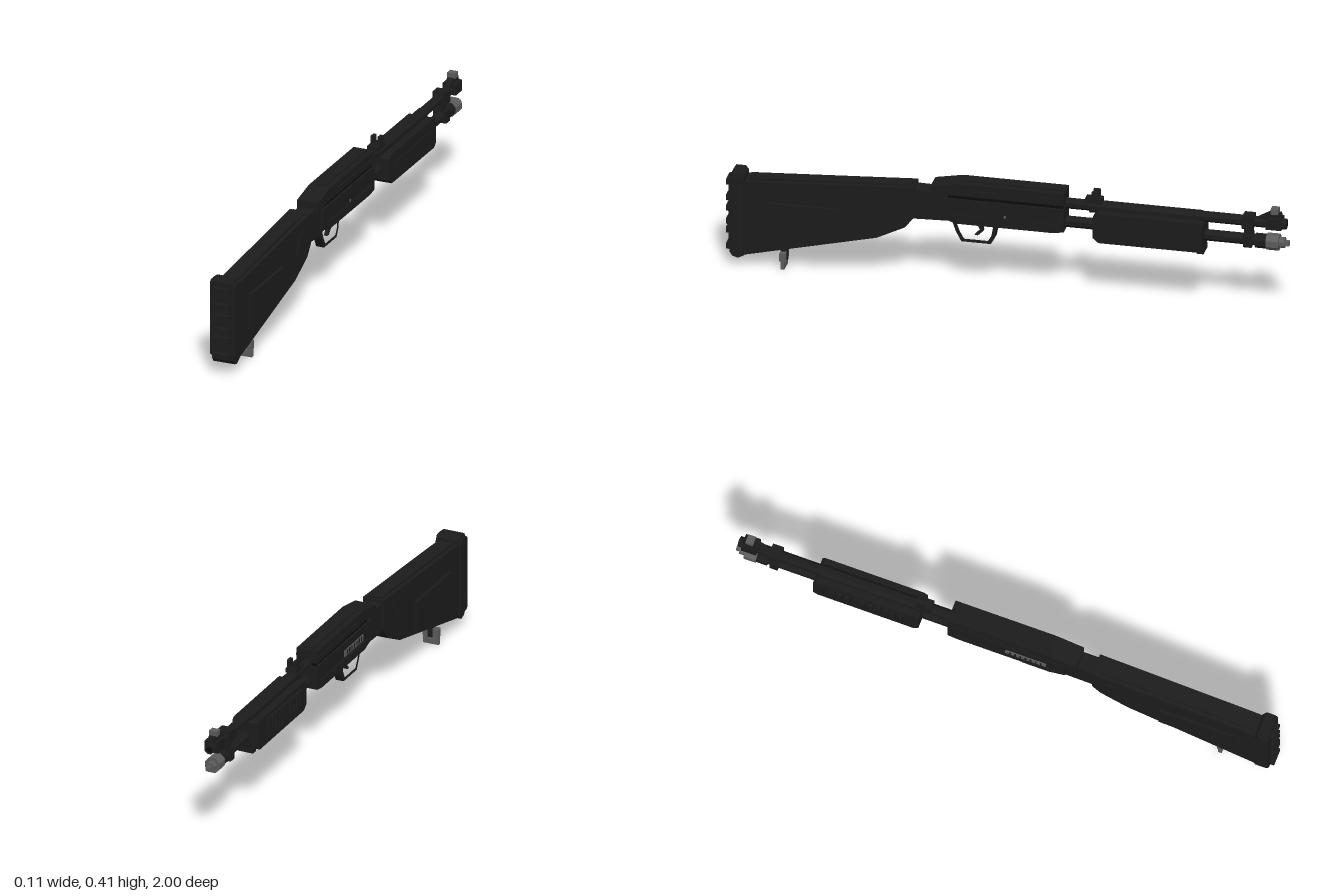
import * as THREE from 'three';

export function createModel() {
  const root = new THREE.Group();
  root.name = 'pumpShotgun';
  const gun = new THREE.Group();
  gun.name = 'gunBody';
  gun.position.x = 0.004; // the body sits a touch off centre because of the one-sided ribs
  root.add(gun);

  const mat = (name, color) => {
    const m = new THREE.MeshStandardMaterial({ color, flatShading: true });
    m.name = name;
    return m;
  };
  const black = mat('matteBlack', 0x1c1c1c);
  const deep = mat('deepBlack', 0x0c0c0c);
  const steel = mat('steelGrey', 0x5c5c5c);

  const add = (name, geo, m) => {
    const mesh = new THREE.Mesh(geo, m);
    mesh.name = name;
    gun.add(mesh);
    return mesh;
  };
  // box given by its width and its z and y ranges
  const box = (name, m, w, z0, z1, y0, y1, x = 0) =>
    add(name, new THREE.BoxGeometry(w, y1 - y0, Math.abs(z1 - z0)), m)
      .position.set(x, (y0 + y1) / 2, (z0 + z1) / 2);
  // side outline of [z, y] points, extruded across the width
  const slab = (name, m, w, pts, x = 0, hole) => {
    const shape = new THREE.Shape(pts.map(p => new THREE.Vector2(...p)));
    if (hole) shape.holes.push(new THREE.Path(hole.map(p => new THREE.Vector2(...p))));
    const geo = new THREE.ExtrudeGeometry(shape, { depth: w, bevelEnabled: false });
    geo.translate(0, 0, -w / 2).rotateY(-Math.PI / 2);
    add(name, geo, m).position.x = x;
  };
  // eight-sided tube along z
  const tube = (name, m, r, z0, z1, y) => {
    const geo = new THREE.CylinderGeometry(r, r, Math.abs(z1 - z0), 8);
    geo.rotateY(Math.PI / 8).rotateX(Math.PI / 2);
    add(name, geo, m).position.set(0, y, (z0 + z1) / 2);
  };

  // Stock and grip
  slab('stock', black, 0.08, [
    [0.945, 0.325], [0.86, 0.332], [0.33, 0.366], [0.33, 0.25], [0.36, 0.212], [0.46, 0.162], [0.945, 0.045]]);
  slab('stockComb', black, 0.05, [[0.92, 0.325], [0.92, 0.336], [0.34, 0.372], [0.34, 0.36]]);
  slab('gripNeck', black, 0.064, [[0.34, 0.355], [0.2, 0.352], [0.2, 0.25], [0.34, 0.245]]);
  for (const s of [-1, 1]) {
    slab('stockPanel', black, 0.01, [[0.855, 0.258], [0.58, 0.258], [0.58, 0.152], [0.855, 0.138]], s * 0.0445);
    slab('gripPanel', black, 0.005, [[0.46, 0.25], [0.42, 0.32], [0.39, 0.32], [0.43, 0.22], [0.46, 0.22]], s * 0.041);
  }

  // Butt pad with ribs on its rear face
  slab('buttPad', black, 0.098, [
    [0.985, 0.335], [0.975, 0.345], [0.945, 0.345], [0.935, 0.325], [0.935, 0.062], [0.975, 0.062], [0.985, 0.07]]);
  slab('buttPadCore', black, 0.08, [
    [0.985, 0.342], [0.978, 0.353], [0.945, 0.353], [0.933, 0.34], [0.933, 0.045], [0.955, 0.034], [0.975, 0.04], [0.985, 0.055]]);
  for (const y of [0.07, 0.132, 0.165, 0.215, 0.255, 0.315])
    box('buttRib', black, 0.06, 0.98, 1.0, y - 0.01, y + 0.01);

  // Receiver
  slab('receiver', black, 0.08, [
    [0.27, 0.378], [0.17, 0.397], [-0.205, 0.397], [-0.205, 0.352], [0.2, 0.352], [0.27, 0.34]]);
  box('receiverCore', deep, 0.066, 0.21, -0.2, 0.26, 0.36);
  slab('lowerReceiver', black, 0.08, [
    [0.23, 0.338], [-0.205, 0.338], [-0.205, 0.252], [-0.17, 0.245], [0.18, 0.245], [0.23, 0.262]]);
  box('receiverTopRib', black, 0.036, 0.16, -0.19, 0.395, 0.403);
  for (const s of [-1, 1]) {
    box('receiverSideRail', black, 0.006, 0.2, -0.18, 0.268, 0.28, s * 0.042);
    box('receiverUpperRail', black, 0.006, 0.1, -0.2, 0.366, 0.376, s * 0.041);
  }
  box('ejectionPort', steel, 0.006, 0.01, 0.16, 0.288, 0.31, -0.041);
  for (let i = 0; i < 7; i++)
    box('portNotch', black, 0.003, 0.025 + i * 0.019, 0.031 + i * 0.019, 0.293, 0.31, -0.044);
  box('receiverPin', steel, 0.004, 0.0, 0.008, 0.284, 0.292, 0.041);

  // Trigger guard and trigger
  slab('triggerGuard', black, 0.03,
    [[0.2, 0.25], [0.185, 0.205], [0.165, 0.168], [0.06, 0.168], [0.045, 0.195], [0.035, 0.25]], 0,
    [[0.185, 0.246], [0.17, 0.205], [0.155, 0.179], [0.07, 0.179], [0.058, 0.2], [0.05, 0.246]]);
  slab('trigger', black, 0.014, [[0.12, 0.25], [0.1, 0.215], [0.12, 0.193], [0.108, 0.193], [0.088, 0.212], [0.095, 0.25]]);

  // Barrel and magazine tube
  tube('barrel', black, 0.019, -0.19, -0.99, 0.347);
  tube('barrelSleeve', black, 0.023, -0.29, -0.69, 0.345);
  tube('muzzleBore', deep, 0.011, -0.98, -0.992, 0.347);
  tube('magazineTube', black, 0.02, -0.19, -0.92, 0.277);
  tube('magazineCollar', black, 0.026, -0.88, -0.92, 0.275);
  tube('magazineCap', steel, 0.03, -0.92, -0.965, 0.276);
  tube('magazineCapTip', steel, 0.019, -0.96, -0.985, 0.276);
  box('magazineCapStud', steel, 0.018, -0.98, -1.0, 0.267, 0.283);
  box('barrelBand', black, 0.05, -0.835, -0.875, 0.325, 0.37);
  box('barrelBandLink', black, 0.026, -0.84, -0.87, 0.255, 0.34);
  box('barrelBandLower', black, 0.05, -0.84, -0.87, 0.255, 0.3);

  // Sliding fore-end, ribbed on one side
  slab('foreEnd', black, 0.098, [
    [-0.31, 0.325], [-0.325, 0.338], [-0.69, 0.338], [-0.7, 0.33], [-0.7, 0.24], [-0.685, 0.228], [-0.33, 0.228], [-0.31, 0.245]]);
  box('foreEndStop', black, 0.06, -0.675, -0.7, 0.215, 0.235);
  for (let i = 0; i < 10; i++) {
    const z = -0.365 - i * 0.028;
    box('foreEndRib', black, 0.012, z, z - 0.016, 0.265, 0.325, -0.055);
  }
  box('foreEndPlate', black, 0.004, -0.35, -0.66, 0.26, 0.3, 0.05);

  // Sights
  box('rearSightBase', black, 0.04, -0.275, -0.335, 0.362, 0.378);
  for (const s of [-1, 1]) box('rearSightEar', black, 0.012, -0.3, -0.325, 0.375, 0.406, s * 0.013);
  box('frontSightCollar', black, 0.05, -0.92, -0.975, 0.33, 0.37);
  slab('frontSightRamp', black, 0.024, [[-0.885, 0.362], [-0.93, 0.388], [-0.97, 0.388], [-0.975, 0.362]]);
  box('frontSightBlade', steel, 0.03, -0.935, -0.962, 0.385, 0.405);

  // Sling swivel: a plate with a slot, hung on a post
  box('swivelPost', black, 0.018, 0.785, 0.81, 0.028, 0.1);
  box('swivelPlate', steel, 0.06, 0.792, 0.806, 0, 0.02);
  for (const s of [-1, 1]) box('swivelSide', steel, 0.02, 0.792, 0.806, 0.02, 0.055, s * 0.02);
  box('swivelTop', steel, 0.06, 0.788, 0.81, 0.03, 0.06);

  return root;
}
